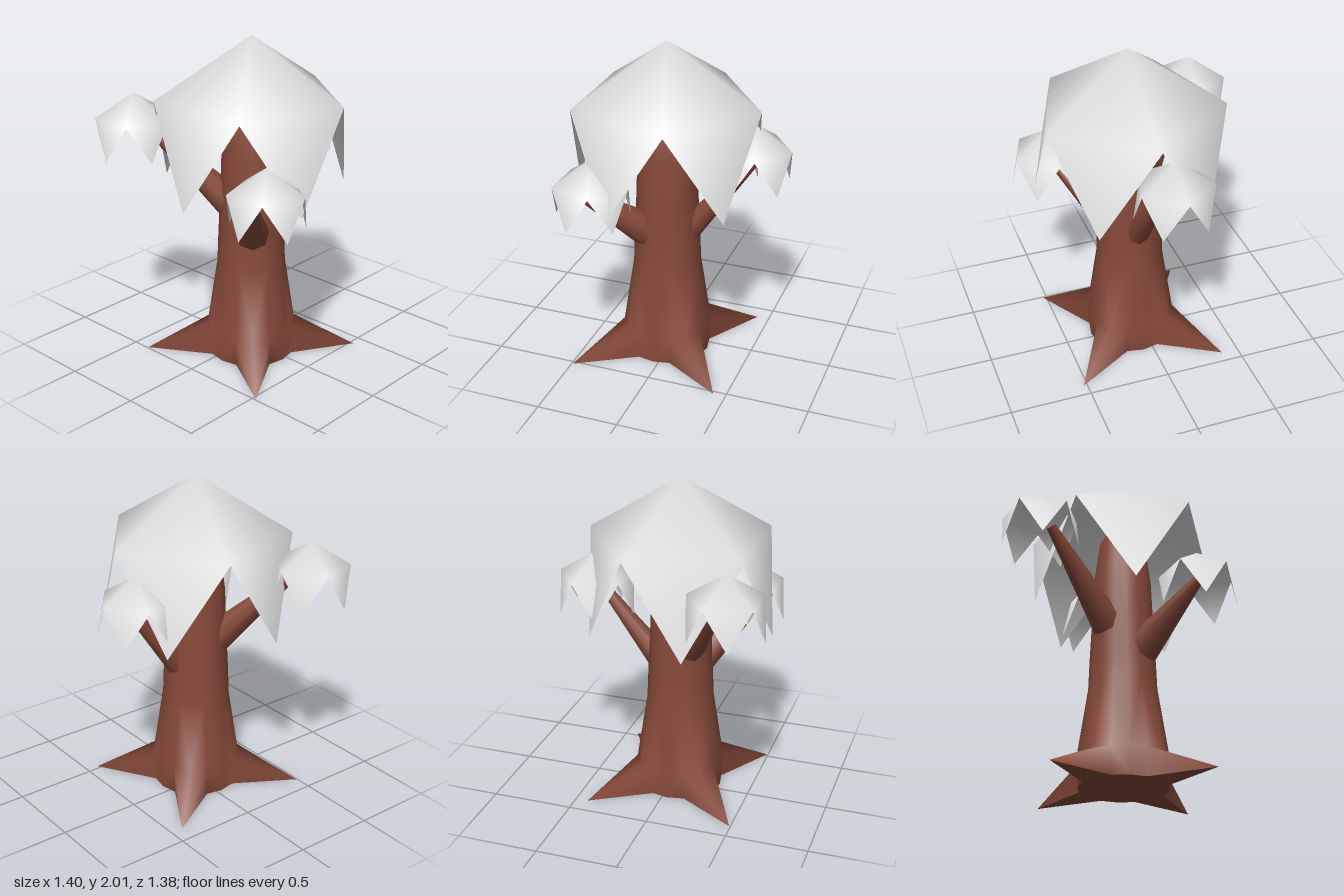
import * as THREE from 'three';

const bark = new THREE.MeshStandardMaterial({ color: 0x86493a });
bark.name = 'brownBark';
const snow = new THREE.MeshStandardMaterial({ color: 0xe0e0e0, side: THREE.DoubleSide });
snow.name = 'paleFoliage';

const SIDES = 16;
const CENTRE = [-0.035, 0.065];

function buildGeometry(points, index) {
  const g = new THREE.BufferGeometry();
  g.setAttribute('position', new THREE.Float32BufferAttribute(points, 3));
  g.setIndex(index);
  g.computeVertexNormals();
  return g;
}

// Radius of the ground outline: four root tips reach out on the diagonals
const groundRadius = (i) => (i % 4 === 2 ? 0.648 : 0.265);

function ring(radius, y) {
  const out = [];
  for (let i = 0; i < SIDES; i++) {
    const a = (i / SIDES) * Math.PI * 2;
    const r = typeof radius === 'function' ? radius(i) : radius;
    out.push(Math.cos(a) * r, y, Math.sin(a) * r);
  }
  return out;
}

// Tapering trunk, its lowest ring drawn out into roots
function trunkGeometry() {
  const profile = [[groundRadius, 0], [0.272, 0.175], [0.207, 0.6], [0.2, 0.78],
    [0.188, 1.02], [0.177, 1.3], [0.14, 1.58], [0.01, 1.8]];
  const points = profile.flatMap(([r, y]) => ring(r, y));
  const index = [];
  for (let k = 0; k < profile.length - 1; k++) {
    for (let i = 0; i < SIDES; i++) {
      const j = (i + 1) % SIDES;
      const a = k * SIDES + i, b = k * SIDES + j, c = a + SIDES, d = b + SIDES;
      // diagonals run from each root tip to the neighbouring upper corners
      if (i % 2) index.push(a, c, b, b, c, d);
      else index.push(a, c, d, a, d, b);
    }
  }
  return buildGeometry(points, index);
}

// Flat underside of trunk and roots
function undersideGeometry() {
  const points = [...ring(groundRadius, 0), 0, 0, 0];
  const index = [];
  for (let i = 0; i < SIDES; i++) index.push(SIDES, i, (i + 1) % SIDES);
  return buildGeometry(points, index);
}

// Five-sided cap with five hanging pointed flaps, rim at y = 0
function capGeometry(radius) {
  const at = (deg, y) => {
    const a = THREE.MathUtils.degToRad(deg);
    return [Math.cos(a) * radius, y * radius, Math.sin(a) * radius];
  };
  const points = [0, 0.63 * radius, 0];
  for (let k = 0; k < 5; k++) points.push(...at(72 * k, 0));
  for (let k = 0; k < 5; k++) points.push(...at(72 * k + 36, -1));
  const index = [];
  for (let k = 0; k < 5; k++) {
    const a = 1 + k, b = 1 + ((k + 1) % 5), tip = 6 + k;
    index.push(0, b, a, a, b, tip);
  }
  return buildGeometry(points, index);
}

// Tapered limb between two points
function limb(from, to, r0, r1) {
  const p = new THREE.Vector3(...from), q = new THREE.Vector3(...to);
  const dir = q.clone().sub(p);
  const mesh = new THREE.Mesh(new THREE.CylinderGeometry(r1, r0, dir.length(), 8), bark);
  mesh.position.copy(p).add(q).multiplyScalar(0.5);
  mesh.quaternion.setFromUnitVectors(new THREE.Vector3(0, 1, 0), dir.normalize());
  return mesh;
}

export function createModel() {
  const model = new THREE.Group();
  model.name = 'tree';
  const add = (mesh, name) => {
    mesh.name = name;
    model.add(mesh);
    return mesh;
  };

  // Trunk and roots
  for (const [geometry, name] of [[trunkGeometry(), 'trunkAndRoots'], [undersideGeometry(), 'rootUnderside']]) {
    add(new THREE.Mesh(geometry, bark), name).position.set(CENTRE[0], 0, CENTRE[1]);
  }

  // Branches
  add(limb([0.05, 0.765, 0.065], [0.53, 1.36, 0.045], 0.085, 0.02), 'leftBranch');
  add(limb([-0.12, 0.82, 0.15], [-0.45, 1.16, 0.46], 0.11, 0.03), 'frontRightBranch');
  add(limb([-0.12, 0.98, -0.03], [-0.43, 1.46, -0.41], 0.1, 0.03), 'backRightBranch');

  // Foliage caps: radius and rim centre
  const caps = [
    ['crownFoliage', 0.573, -0.035, 1.645, 0.065],
    ['leftFoliage', 0.234, 0.466, 1.38, -0.035],
    ['frontRightFoliage', 0.231, -0.35, 1.24, 0.47],
    ['backRightFoliage', 0.231, -0.469, 1.505, -0.475],
  ];
  for (const [name, radius, x, y, z] of caps) {
    add(new THREE.Mesh(capGeometry(radius), snow), name).position.set(x, y, z);
  }
  return model;
}
